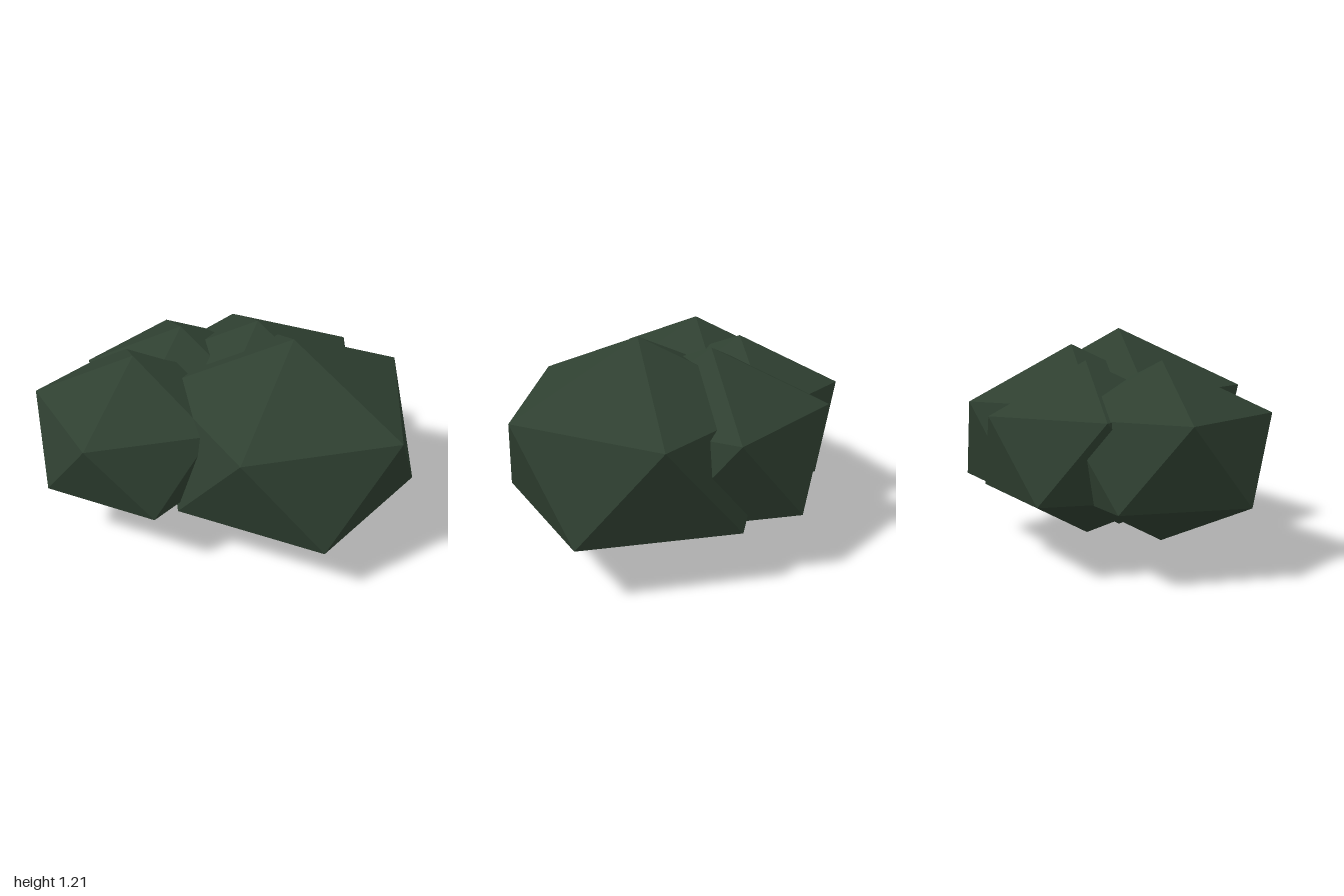
import * as THREE from 'three';

export function createModel() {
  const group = new THREE.Group();
  group.name = 'bush';
  const foliage = new THREE.MeshStandardMaterial({ color: 0x2f4031, flatShading: true });
  foliage.name = 'darkGreenFoliage';

  // Icosahedron stood on a corner, with an upper-ring corner facing +x
  const golden = (1 + Math.sqrt(5)) / 2;
  const clumpGeometry = new THREE.IcosahedronGeometry(1, 0)
    .rotateX(-Math.atan(golden))
    .rotateY(Math.PI / 2);

  // Overlapping leaf clumps: name, x, z, radius
  const clumps = [
    ['frontClump', 0.28, 0.24, 0.802],
    ['leftClump', 0.3, -0.145, 0.696],
    ['backClump', -0.055, -0.4, 0.617],
    ['rightClump', -0.435, -0.235, 0.63],
  ];
  for (const [name, x, z, r] of clumps) {
    const clump = new THREE.Mesh(clumpGeometry, foliage);
    clump.name = name;
    clump.position.set(x, 0.604, z);
    clump.scale.set(r, r * 0.752, r);
    group.add(clump);
  }
  return group;
}
